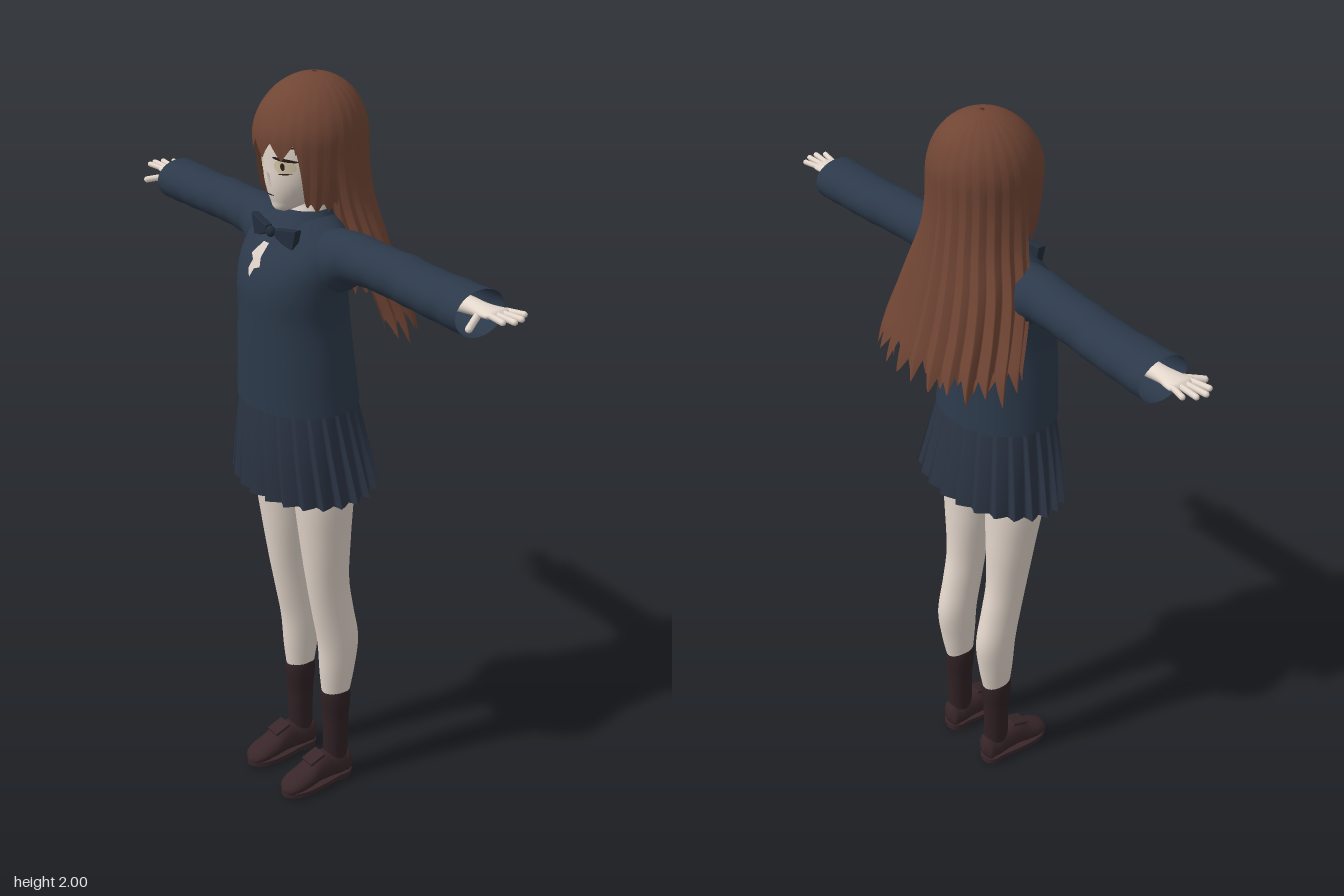
import * as THREE from 'three';
import { mergeVertices } from 'three/addons/utils/BufferGeometryUtils.js';
import { ParametricGeometry } from 'three/addons/geometries/ParametricGeometry.js';

const TAU = Math.PI * 2;

// Smoothly interpolated cross-sections; each row is [height, cx, cz, rx, rz]
function sections(rows) {
  const curve = new THREE.CubicInterpolant(
    rows.map(r => r[0]), rows.flatMap(r => r.slice(1)), 4, new Float32Array(4));
  const at = y => curve.evaluate(y);
  return { at, lo: rows[0][0], hi: rows[rows.length - 1][0] };
}

// Closed tube through the cross-sections; ripple(angle, height) scales the radius
function loft(sec, slices = 32, stacks = 24, ripple = () => 1) {
  return new ParametricGeometry((u, v, p) => {
    const y = sec.lo + (sec.hi - sec.lo) * v, a = u * TAU;
    const [cx, cz, rx, rz] = sec.at(y), k = ripple(a, y);
    p.set(cx + rx * k * Math.sin(a), y, cz + rz * k * Math.cos(a));
  }, slices, stacks);
}

// Lays a flat geometry onto the front of a lofted surface
function layOn(sec, geo, lift) {
  const p = geo.attributes.position;
  for (let i = 0; i < p.count; i++) {
    const [cx, cz, rx, rz] = sec.at(p.getY(i));
    const t = (p.getX(i) - cx) / rx;
    p.setZ(i, cz + rz * Math.sqrt(Math.max(0, 1 - t * t)) + lift);
  }
  geo.computeVertexNormals();
  return geo;
}

const disc = (x, y, w, h, a = 0) =>
  new THREE.RingGeometry(0.001, 1, 24, 3).scale(w, h, 1).rotateZ(a).translate(x, y, 0);

function mirrored(geo) {
  const g = geo.index ? geo.clone() : mergeVertices(geo);
  g.scale(-1, 1, 1);
  const ix = g.index;
  for (let i = 0; i < ix.count; i += 3) {
    const b = ix.getX(i + 1);
    ix.setX(i + 1, ix.getX(i + 2));
    ix.setX(i + 2, b);
  }
  return g;
}

// Rounded rod between two points
function rod(a, b, r) {
  const from = new THREE.Vector3(...a), d = new THREE.Vector3(...b).sub(from);
  const g = new THREE.CapsuleGeometry(r, d.length(), 4, 10);
  g.applyQuaternion(new THREE.Quaternion().setFromUnitVectors(
    new THREE.Vector3(0, 1, 0), d.clone().normalize()));
  return g.translate(from.x + d.x / 2, from.y + d.y / 2, from.z + d.z / 2);
}

const polygon = pts => new THREE.Shape(pts.map(([x, y]) => new THREE.Vector2(x, y)));

export function createModel() {
  const model = new THREE.Group();
  const material = (name, color, side = THREE.DoubleSide) => {
    const m = new THREE.MeshStandardMaterial({ color, side });
    m.name = name;
    return m;
  };
  const skin = material('skin', 0xe3d6cb, THREE.FrontSide);
  const hair = material('brown hair', 0x704534);
  const knit = material('navy knit', 0x2c394a);
  const cloth = material('navy skirt cloth', 0x2b3443);
  const ribbon = material('dark ribbon', 0x222d3b);
  const sockCloth = material('sock cloth', 0x302125);
  const leather = material('shoe leather', 0x38262a);
  const shirtCloth = material('shirt cloth', 0xd8ccc4);
  const eyeTone = material('eye', 0xd6c8a8);
  const ink = material('dark lines', 0x2a1d1a);

  const add = (name, geo, mat) => {
    const m = new THREE.Mesh(geo, mat);
    m.name = name;
    model.add(m);
  };
  const pair = (name, geo, mat) => {
    add('left' + name, geo, mat);
    add('right' + name, mirrored(geo), mat);
  };

  // Sweater body
  const torso = sections([
    [1.185, 0, 0.07, 0.176, 0.146], [1.3, 0, 0.077, 0.165, 0.139], [1.42, 0, 0.082, 0.153, 0.133],
    [1.5, 0, 0.085, 0.16, 0.126], [1.56, 0, 0.075, 0.168, 0.113], [1.61, 0, 0.057, 0.162, 0.091],
    [1.645, 0, 0.046, 0.122, 0.07], [1.668, 0, 0.042, 0.062, 0.05]]);
  add('sweaterBody', loft(torso, 48, 36), knit);

  // Sleeves, lofted along the arm then turned sideways (second column is -height)
  const sleeve = loft(sections([
    [0.1, -1.585, 0.045, 0.06, 0.06], [0.15, -1.577, 0.043, 0.078, 0.072], [0.21, -1.595, 0.04, 0.062, 0.064],
    [0.3, -1.597, 0.034, 0.054, 0.063], [0.38, -1.596, 0.03, 0.056, 0.062], [0.45, -1.592, 0.028, 0.053, 0.066],
    [0.55, -1.591, 0.026, 0.055, 0.067], [0.637, -1.59, 0.025, 0.055, 0.071]]), 32, 48,
    (a, y) => 1 + 0.012 * Math.sin(y * 75 + 2 * Math.sin(a))).rotateZ(-Math.PI / 2);
  pair('Sleeve', sleeve, knit);

  // Wrists, palms, fingers and thumbs
  const palm = loft(sections([
    [0.52, -1.595, 0.025, 0.026, 0.03], [0.62, -1.6, 0.025, 0.018, 0.024], [0.65, -1.602, 0.026, 0.015, 0.027],
    [0.68, -1.605, 0.024, 0.012, 0.034], [0.7, -1.608, 0.023, 0.009, 0.032], [0.71, -1.608, 0.023, 0.001, 0.003]]),
  20, 24).rotateZ(-Math.PI / 2);
  pair('Hand', palm, skin);
  [[0.735, -0.014], [0.753, 0.01], [0.758, 0.034], [0.745, 0.056]].forEach(([x, z], i) =>
    pair('Finger' + (i + 1), rod([0.69, 1.608, -0.001 + i * 0.016], [x, 1.61, z], 0.0072), skin));
  pair('Thumb', rod([0.65, 1.598, 0.04], [0.688, 1.587, 0.1], 0.0085), skin);

  // Pleated skirt and its inner lining
  const skirt = sections([
    [0.94, 0, 0.052, 0.237, 0.17], [1.07, 0, 0.062, 0.203, 0.155], [1.2, 0, 0.07, 0.168, 0.137]]);
  const pleats = 24;
  const skirtGeo = loft(skirt, pleats * 8, 8, (a, y) => {
    const f = (a / TAU * pleats) % 1;
    const saw = f < 0.8 ? f / 0.8 : (1 - f) / 0.2;
    return 1 - (0.02 + 0.09 * (1.2 - y) / 0.26) * saw;
  });
  const sp = skirtGeo.attributes.position;
  for (let i = 0; i < sp.count; i++) {
    const back = THREE.MathUtils.clamp((0.215 - sp.getZ(i)) / 0.33, 0, 1);
    sp.setY(i, sp.getY(i) + 0.03 * back * (1.2 - sp.getY(i)) / 0.26);
  }
  add('pleatedSkirt', skirtGeo, cloth);
  add('skirtLining', new THREE.CircleGeometry(1, 32).rotateX(Math.PI / 2)
    .scale(0.17, 1, 0.13).translate(0, 1.12, 0.065), cloth);

  // Legs and socks
  pair('Leg', loft(sections([
    [0.27, 0.086, 0.01, 0.031, 0.038], [0.36, 0.088, 0.006, 0.039, 0.052], [0.46, 0.089, 0.004, 0.045, 0.061],
    [0.56, 0.089, 0.022, 0.046, 0.061], [0.65, 0.09, 0.038, 0.049, 0.061], [0.8, 0.092, 0.05, 0.066, 0.07],
    [0.95, 0.095, 0.058, 0.083, 0.079], [1.14, 0.09, 0.062, 0.082, 0.085]]), 28, 40), skin);
  pair('Sock', loft(sections([
    [0.05, 0.087, 0.01, 0.032, 0.037], [0.1, 0.087, 0.01, 0.031, 0.037], [0.2, 0.087, 0.009, 0.033, 0.038],
    [0.3, 0.086, 0.01, 0.036, 0.043], [0.306, 0.086, 0.01, 0.034, 0.041]]), 24, 20), sockCloth);

  // Shoes: upper lofted from heel to toe, with sole, heel and tongue
  pair('ShoeUpper', loft(sections([
    [-0.037, 0.087, -0.05, 0.004, 0.006], [-0.032, 0.087, -0.05, 0.022, 0.034], [-0.01, 0.087, -0.053, 0.034, 0.042],
    [0.04, 0.087, -0.058, 0.035, 0.045], [0.08, 0.087, -0.058, 0.037, 0.044], [0.12, 0.088, -0.044, 0.04, 0.032],
    [0.165, 0.088, -0.034, 0.035, 0.022], [0.183, 0.088, -0.028, 0.022, 0.014], [0.19, 0.088, -0.024, 0.002, 0.002]]),
  24, 30).rotateX(Math.PI / 2), leather);
  const sole = new THREE.Shape().absellipse(0, 0.12, 0.042, 0.07, 0, Math.PI, false)
    .bezierCurveTo(-0.042, 0.06, -0.03, 0.03, -0.033, -0.01)
    .quadraticCurveTo(-0.03, -0.037, 0, -0.038)
    .quadraticCurveTo(0.03, -0.037, 0.033, -0.01)
    .bezierCurveTo(0.03, 0.03, 0.042, 0.06, 0.042, 0.12);
  pair('ShoeSole', new THREE.ExtrudeGeometry(sole, { depth: 0.014, bevelEnabled: false })
    .rotateX(Math.PI / 2).translate(0.088, 0.022, 0), leather);
  pair('ShoeHeel', new THREE.CylinderGeometry(0.033, 0.032, 0.022, 20).translate(0.087, 0.011, -0.003), leather);
  pair('ShoeTongue', new THREE.BoxGeometry(0.044, 0.008, 0.05).rotateX(0.35).translate(0.087, 0.097, 0.085), leather);

  // Neck, collar and head
  add('neck', new THREE.CylinderGeometry(0.038, 0.045, 0.14, 24).translate(0, 1.69, 0.04), skin);
  add('shirtCollar', loft(sections([
    [1.645, 0, 0.048, 0.066, 0.062], [1.69, 0, 0.036, 0.052, 0.05]]), 32, 4), shirtCloth);
  add('sweaterCollar', loft(sections([
    [1.63, 0, 0.052, 0.105, 0.085], [1.66, 0, 0.045, 0.075, 0.067], [1.678, 0, 0.04, 0.06, 0.056]]), 32, 6), knit);
  const head = sections([
    [1.675, 0, 0.108, 0.003, 0.003], [1.682, 0, 0.105, 0.02, 0.025], [1.7, 0, 0.083, 0.044, 0.055],
    [1.74, 0, 0.058, 0.076, 0.09], [1.79, 0, 0.042, 0.095, 0.109], [1.86, 0, 0.035, 0.102, 0.115],
    [1.93, 0, 0.03, 0.088, 0.1], [1.975, 0, 0.03, 0.03, 0.035]]);
  add('head', loft(head, 36, 40), skin);
  add('nose', new THREE.ConeGeometry(0.011, 0.036, 12).scale(1, 1, 1.2)
    .rotateX(0.5).translate(0, 1.764, 0.148), skin);

  // Painted face: eyes, lashes, brows and mouth
  pair('Eye', layOn(head, disc(0.047, 1.797, 0.024, 0.018), 0.002), eyeTone);
  pair('Pupil', layOn(head, disc(0.046, 1.798, 0.005, 0.009), 0.004), ink);
  pair('UpperLash', layOn(head, disc(0.049, 1.815, 0.028, 0.004, -0.12), 0.005), ink);
  pair('LowerLash', layOn(head, disc(0.049, 1.78, 0.015, 0.0015, 0.1), 0.004), ink);
  pair('Brow', layOn(head, disc(0.047, 1.846, 0.026, 0.0025, -0.08), 0.003), ink);
  add('mouth', layOn(head, disc(0, 1.722, 0.015, 0.0018), 0.003), ink);

  // Hair: grooved shells running from the crown to a jagged lower edge
  const crown = y => Math.sqrt(Math.max(0.0004, 1 - Math.max(0, (y - 1.85) / 0.15) ** 2));
  const zigzag = t => Math.abs(2 * (t - Math.floor(t)) - 1);
  function hairShell(sec, a0, a1, edge, lobes, depth, size, slices) {
    return new ParametricGeometry((u, v, p) => {
      const a = a0 + (a1 - a0) * u, e = edge(a);
      const y = e + (2 - e) * Math.sin(v * Math.PI / 2);
      const [cx, cz, rx, rz] = sec.at(y);
      const fall = THREE.MathUtils.clamp((1.95 - y) / 0.5, 0.12, 1);
      const k = crown(y) * size * (1 - depth * fall * zigzag(a * lobes / TAU));
      p.set(cx + rx * k * Math.sin(a), y, cz + rz * k * Math.cos(a));
    }, slices, 36);
  }
  const frontHair = sections([
    [1.68, 0, 0.035, 0.118, 0.118], [1.76, 0, 0.032, 0.13, 0.13], [1.85, 0, 0.029, 0.136, 0.142], [2, 0, 0.02, 0.136, 0.142]]);
  const fringeEdge = a => {
    const t = Math.abs(a);
    if (t < 0.72) return 1.815 + 0.04 * zigzag(a * 2.2 + 0.5);
    return 1.815 - 0.125 * THREE.MathUtils.smoothstep(t, 0.72, 0.95) + 0.025 * zigzag(t * 4);
  };
  add('fringe', hairShell(frontHair, -1.55, 1.55, fringeEdge, 26, 0.04, 1, 120), hair);
  const backHair = sections([
    [1.35, 0, -0.065, 0.246, 0.16], [1.42, 0, -0.055, 0.238, 0.155], [1.5, 0, -0.03, 0.22, 0.152],
    [1.6, 0, 0, 0.19, 0.152], [1.7, 0, 0.02, 0.152, 0.147], [1.78, 0, 0.028, 0.139, 0.143],
    [1.86, 0, 0.029, 0.136, 0.142], [2, 0, 0.02, 0.136, 0.142]]);
  const tips = (base, shift) => a =>
    base + 0.07 * zigzag(a * 26 / TAU + shift) + 0.025 * Math.sin(a * 7) ** 2;
  add('longBackHair', hairShell(backHair, 1.4, TAU - 1.4, tips(1.355, 0), 26, 0.09, 1.01, 168), hair);
  add('innerBackHair', hairShell(backHair, 1.5, TAU - 1.5, tips(1.365, 0.5), 26, 0.07, 0.91, 168), hair);

  // Shirt opening and ribbon bow
  add('shirtOpening', layOn(torso, new THREE.ShapeGeometry(polygon([
    [-0.03, 1.575], [-0.012, 1.565], [-0.016, 1.545], [-0.002, 1.525], [0.006, 1.548],
    [0.024, 1.555], [0.012, 1.575], [0.01, 1.605], [-0.012, 1.605]])), 0.007), shirtCloth);
  const wing = new THREE.ExtrudeGeometry(
    polygon([[0.004, 1.622], [0.062, 1.598], [0.076, 1.65], [0.004, 1.638]]),
    { depth: 0.012, bevelEnabled: true, bevelSize: 0.003, bevelThickness: 0.004, bevelSegments: 2 });
  pair('BowWing', wing.translate(0, 0, 0.135).rotateY(0.12), ribbon);
  add('bowKnot', new THREE.SphereGeometry(1, 16, 12).scale(0.013, 0.014, 0.012).translate(0, 1.63, 0.147), ribbon);

  return model;
}
